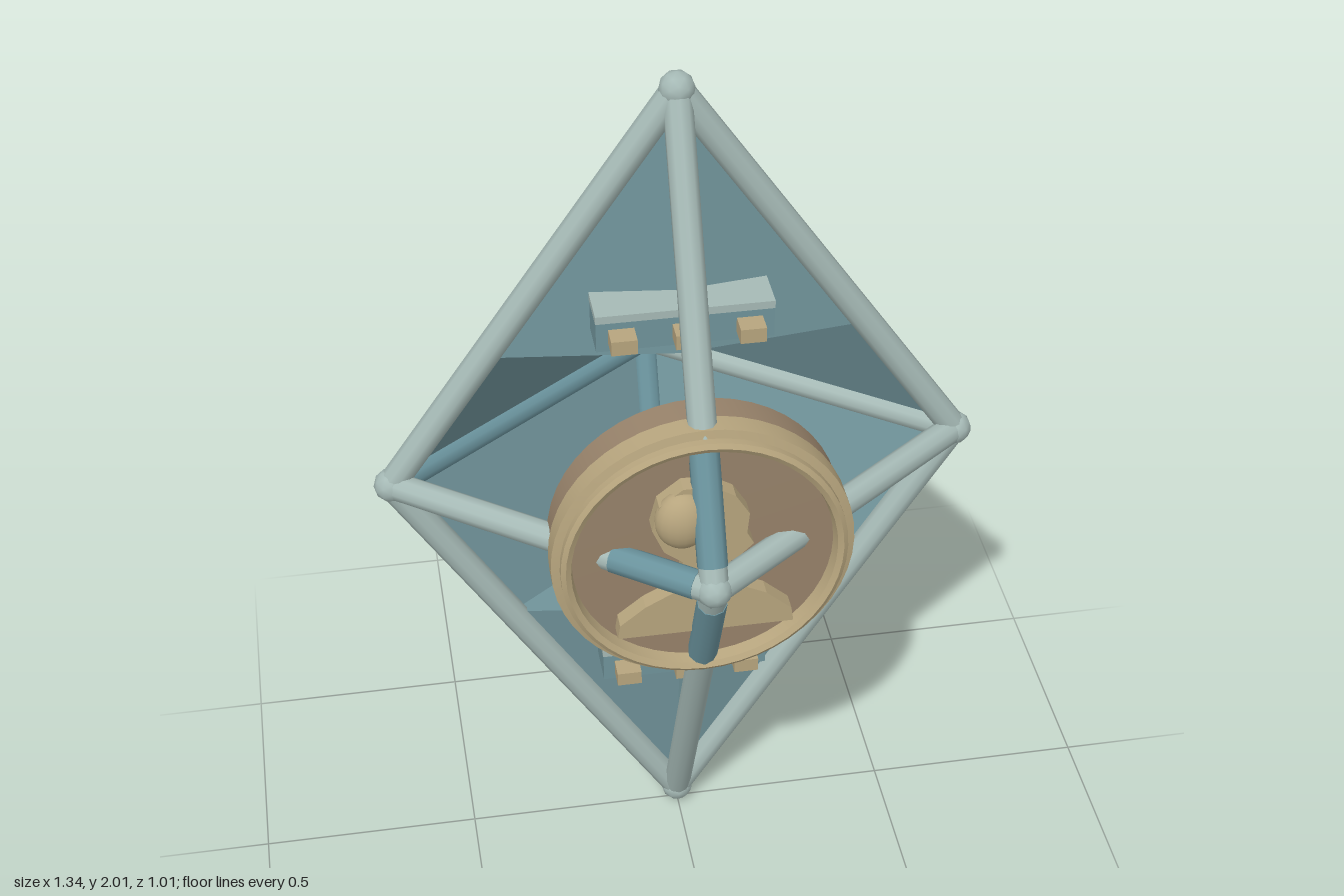
import * as THREE from 'three';
import { toCreasedNormals } from 'three/addons/utils/BufferGeometryUtils.js';

const V = (x, y, z) => new THREE.Vector3(x, y, z);
const mat = (name, color) => Object.assign(new THREE.MeshStandardMaterial({ color }), { name });

export function createModel() {
  const root = new THREE.Group();
  root.name = 'octahedralCraft';
  const pale = mat('paleFrame', 0xa6bab6);
  const blue = mat('blueFrame', 0x6a939d);
  const teal = mat('tealPanel', 0x70939a);
  const tealSheet = mat('tealSheet', 0x70939a);
  tealSheet.side = THREE.DoubleSide;
  const bronze = mat('bronze', 0x97826a);
  const tan = mat('tan', 0xb7a57e);

  const add = (name, geo, material, x = 0, y = 0, z = 0) => {
    const m = new THREE.Mesh(geo, material);
    m.name = name;
    m.position.set(x, y, z);
    root.add(m);
    return m;
  };
  // Cylinder between two points
  const bar = (name, a, b, r, material, sides = 10) => {
    const m = add(name, new THREE.CylinderGeometry(r, r, a.distanceTo(b), sides), material);
    m.position.copy(a).lerp(b, 0.5);
    m.quaternion.setFromUnitVectors(V(0, 1, 0), b.clone().sub(a).normalize());
    return m;
  };
  // Flat-shaded mesh from triangles of points
  const faces = (name, tris, material) => {
    const g = new THREE.BufferGeometry().setFromPoints(tris.flat());
    g.computeVertexNormals();
    return add(name, g, material);
  };

  // Frame corners
  const top = V(0, 1.965, 0), bottom = V(0, 0.035, 0);
  const right = V(-0.63, 1.05, 0), left = V(0.63, 1.05, 0);
  const front = V(0, 1.05, 0.465), back = V(0, 1.05, -0.465);
  const ring = [front, left, back, right];

  for (const p of [top, bottom, ...ring]) {
    add('frameJoint', new THREE.IcosahedronGeometry(0.038, 1), pale, p.x, p.y, p.z);
  }
  // Twelve struts
  ring.forEach((p, i) => {
    const next = ring[(i + 1) % 4];
    bar('equatorStrut', p, next, 0.031, p === back ? blue : pale);
    bar('upperStrut', p, top, 0.031, p === back ? blue : pale);
    bar('lowerStrut', p, bottom, 0.031, p === back ? blue : pale);
  });
  // Blue sleeves where the struts leave the medallion
  for (const p of [top, bottom, right]) {
    bar('strutSleeve', front.clone().lerp(p, 0.05), front.clone().lerp(p, 0.3), 0.0325, blue);
  }

  // Four hull panels at the rear
  for (const apex of [top, bottom]) {
    for (const side of [left, right]) {
      const outward = (apex === top) === (side === left);
      faces('hullPanel', [outward ? [side, back, apex] : [back, side, apex]], tealSheet);
    }
  }

  // Closed bays filling the upper and lower tips, with a shallow front ridge
  const bay = (name, apex, y, grow) => {
    const s = (apex.y - y) / (apex.y - 1.05) * grow;
    const base = [V(0, y, 0.05), V(0.63 * s, y, 0), V(0, y, -0.465 * s), V(-0.63 * s, y, 0)];
    const up = apex.y > y;
    const tris = base.map((p, i) => {
      const q = base[(i + 1) % 4];
      return up ? [p, q, apex] : [q, p, apex];
    });
    const [a, b, c, d] = base;
    tris.push(up ? [a, c, b] : [a, b, c], up ? [a, d, c] : [a, c, d]);
    faces(name, tris, teal);
  };
  bay('upperBay', top, 1.36, 0.985);
  bay('lowerBay', bottom, 0.65, 1.008);

  // Consoles running through the bays, their rear corners piercing the hull
  for (const y of [1.425, 0.51]) {
    add('console', new THREE.BoxGeometry(0.376, 0.07, 0.32), teal, 0, y + 0.035, -0.05);
    add('consoleLid', new THREE.BoxGeometry(0.378, 0.018, 0.322), pale, 0, y + 0.078, -0.05);
    for (const x of [-0.135, 0, 0.135]) {
      add('consoleButton', new THREE.BoxGeometry(0.055, 0.034, 0.06), tan, x, y + 0.036, 0.127);
    }
  }

  // Control lever
  bar('lever', V(0, 0.775, 0.215), V(0, 0.59, 0.145), 0.024, tan, 12);

  // Medallion, turned about the z axis
  const turned = (name, pts, material) => {
    const g = new THREE.LatheGeometry(pts.map(([r, z]) => new THREE.Vector2(r, z)), 48);
    const m = add(name, toCreasedNormals(g.rotateX(Math.PI / 2), 0.5), material, 0, 1.045, 0);
    return m;
  };
  turned('medallionDisc', [[0, 0.217], [0.316, 0.217], [0.316, 0.3], [0.285, 0.335], [0, 0.337]], bronze);
  turned('medallionRim', [[0.31, 0.29], [0.324, 0.292], [0.324, 0.34], [0.306, 0.345],
    [0.306, 0.362], [0.296, 0.369], [0.284, 0.362], [0.278, 0.33]], tan);

  // Relief bust on the medallion
  const relief = (name, pts, z) => {
    const shape = new THREE.Shape(pts.map(([x, y]) => new THREE.Vector2(x, y)));
    const g = new THREE.ExtrudeGeometry(shape, { depth: z - 0.33, bevelEnabled: false });
    add(name, g, tan, 0, 0, 0.33);
  };
  relief('reliefShoulders', [[-0.19, 0.865], [0.19, 0.865], [0.185, 0.9], [0.13, 0.95], [0.06, 0.985],
    [0.05, 1.06], [-0.05, 1.06], [-0.055, 0.985], [-0.13, 0.945], [-0.185, 0.9]], 0.375);
  relief('reliefHead', [[-0.04, 1.05], [0.06, 1.05], [0.1, 1.09], [0.085, 1.12], [0.09, 1.17], [0.06, 1.22],
    [0.01, 1.25], [-0.05, 1.25], [-0.1, 1.21], [-0.115, 1.15], [-0.09, 1.09]], 0.375);
  add('reliefFace', new THREE.SphereGeometry(0.06, 20, 12).scale(1, 1.15, 0.75), tan, -0.05, 1.17, 0.37);

  return root;
}
